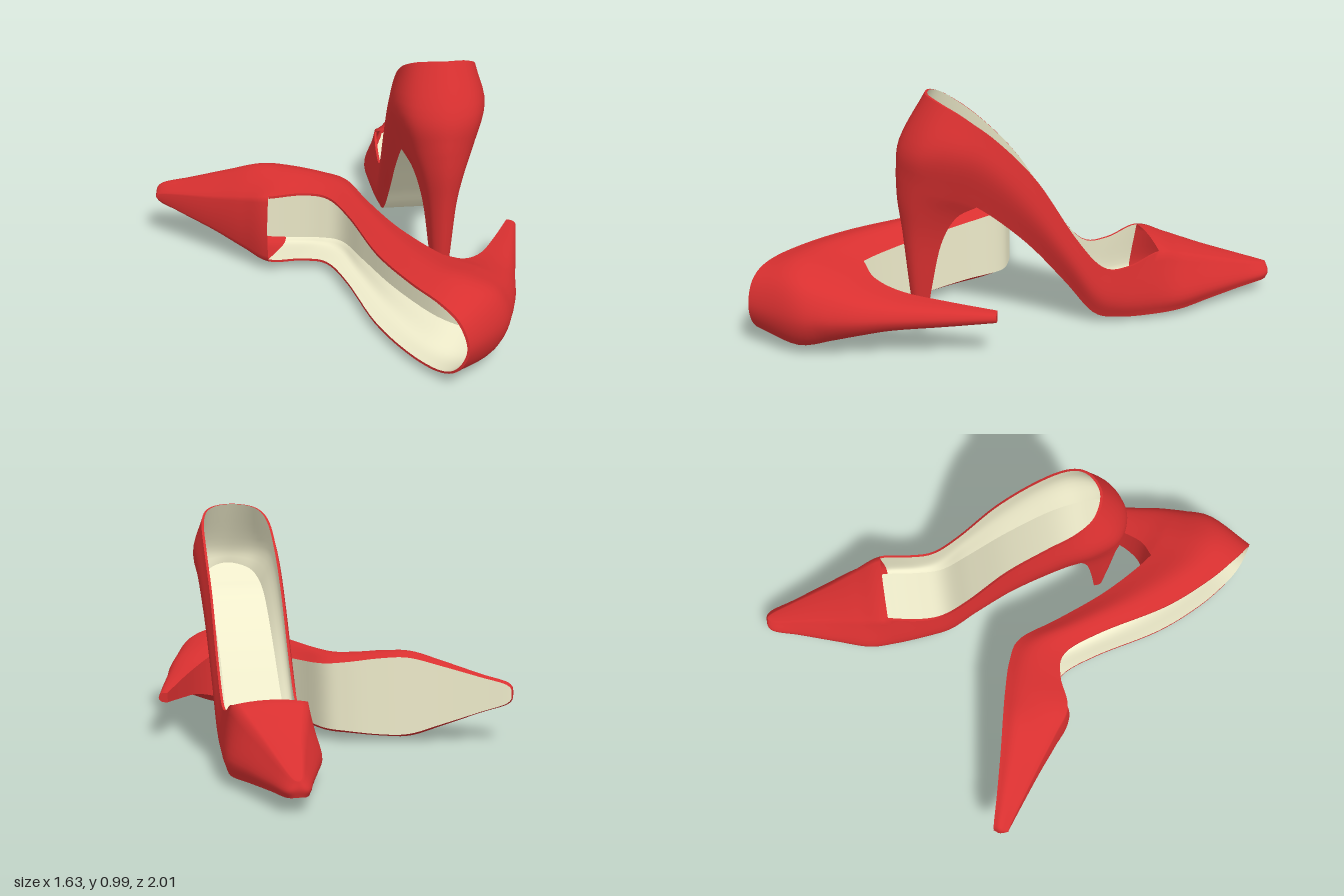
import * as THREE from 'three';
import { mergeGeometries, mergeVertices } from 'three/addons/utils/BufferGeometryUtils.js';

const V = (x, y, z) => new THREE.Vector3(x, y, z);
const red = new THREE.MeshStandardMaterial({ color: 0xd83030, side: THREE.DoubleSide });
const cream = new THREE.MeshStandardMaterial({ color: 0xefeccb, side: THREE.DoubleSide });

// Half outline from toe to back of heel, each point [x, y, half width]
const FEATHER = [[-.81, .205, 0], [-.79, .2, .04], [-.68, .185, .075], [-.52, .16, .125], [-.38, .135, .165],
  [-.26, .115, .165], [-.12, .1, .15], [-.01, .12, .14], [.12, .255, .13], [.3, .43, .128],
  [.51, .58, .13], [.66, .625, .125], [.76, .655, .09], [.808, .67, 0]];
const BULGE = [[-.815, .235, 0], [-.795, .23, .045], [-.68, .225, .082], [-.52, .22, .137], [-.38, .21, .182],
  [-.26, .2, .184], [-.12, .18, .173], [-.01, .21, .17], [.12, .36, .17], [.3, .57, .173],
  [.49, .74, .178], [.64, .8, .175], [.755, .8, .12], [.802, .8, 0]];
const RIM = [[-.805, .265, 0], [-.78, .268, .02], [-.68, .289, .045], [-.52, .325, .08], [-.38, .36, .118],
  [-.26, .384, .15], [-.14, .325, .156], [-.03, .32, .155], [.1, .45, .155], [.28, .69, .155],
  [.45, .85, .155], [.59, .945, .145], [.675, .985, .1], [.715, .995, 0]];

const STEP = 6;                 // columns per outline point
const N = 26 * STEP;            // columns around the shoe
const THROAT = 5 * STEP;        // column where the opening starts
const BREAST = 10 * STEP;       // column where the heel starts

// Heel levels: [front x, front y, back x, back y, width factor]
const HEEL = [[.58, .52, .795, .56, .72], [.622, .4, .767, .43, .48],
  [.64, .22, .728, .22, .32], [.65, .025, .69, .025, .16]];

// Mirrors a half outline into a smooth closed loop and samples its columns
function loop(half) {
  const left = half.map(p => V(...p));
  const right = half.slice(1, -1).reverse().map(([x, y, w]) => V(x, y, -w));
  const curve = new THREE.CatmullRomCurve3([...left, ...right], true, 'catmullrom', 0.5);
  return Array.from({ length: N }, (_, j) => curve.getPoint(j / N));
}

// Surface through equally long columns of points
function skin(columns) {
  const rows = columns[0].length, pos = [], idx = [];
  columns.forEach(c => c.forEach(p => pos.push(p.x, p.y, p.z)));
  for (let j = 0; j < columns.length - 1; j++) {
    for (let i = 0; i < rows - 1; i++) {
      const a = j * rows + i, b = a + rows;
      idx.push(a, b, b + 1, a, b + 1, a + 1);
    }
  }
  const g = new THREE.BufferGeometry();
  g.setAttribute('position', new THREE.Float32BufferAttribute(pos, 3));
  g.setIndex(idx);
  return g;
}

function mesh(name, parts, material) {
  const g = mergeVertices(mergeGeometries(parts), 1e-4);
  g.computeVertexNormals();
  const m = new THREE.Mesh(g, material);
  m.name = name;
  return m;
}

const range = (a, b) => Array.from({ length: b - a + 1 }, (_, i) => a + i);
const wrap = j => (j + N) % N;
const through = (pts, n) => new THREE.CatmullRomCurve3(pts, false, 'catmullrom', 0.5).getPoints(n);
const across = (a, b, n) => range(0, n).map(i => a.clone().lerp(b, i / n));

// Moves a point inward, towards the middle line of the shoe
function inset(p, d) {
  const c = V(THREE.MathUtils.clamp(p.x, -.6, .55), p.y, 0);
  const dir = c.sub(p), len = dir.length();
  return len < 1e-6 ? p.clone() : p.clone().addScaledVector(dir, Math.min(d, len) / len);
}

function makeShoe(name) {
  const shoe = new THREE.Group();
  shoe.name = name;
  const feather = loop(FEATHER), bulge = loop(BULGE), rim = loop(RIM);

  // Side walls, closed toe cap and heel form one smooth red skin
  const walls = skin(range(0, N).map(wrap).map(j => through([feather[j], bulge[j], rim[j]], 10)));
  const toeCap = skin(range(-THROAT, THROAT).map(wrap).map(j => {
    const p = rim[j], w = Math.abs(p.z);
    return range(0, 6).map(i => {
      const s = 1 - i / 6;
      return V(p.x, p.y + 0.1 * w * (1 - s * s), p.z * s);
    });
  }));
  const heelColumns = range(BREAST, N - BREAST).map(j => {
    const p = feather[j], t = (p.x - .51) / .298;
    const pts = HEEL.map(([xf, yf, xb, yb, w]) =>
      V(xf + t * (xb - xf), yf + t * (yb - yf), p.z * w));
    return through([p, ...pts], 20).reverse();
  });
  shoe.add(mesh('upperAndHeel', [walls, toeCap, skin(heelColumns)], red));

  // Front face of the heel and its tip
  const first = heelColumns[0], last = heelColumns[heelColumns.length - 1];
  shoe.add(mesh('heelBreast', [skin(first.map((p, i) => across(p, last[i], 4)))], red));
  const tipCentre = V(.67, .025, 0);
  shoe.add(mesh('heelTip', [skin([...heelColumns, first].map(c => [tipCentre, c[0]]))], red));

  // Thin edge around the opening
  const opening = range(THROAT, N - THROAT);
  shoe.add(mesh('topline', [skin(opening.map(j => [rim[j], inset(rim[j], .01)]))], red));

  // Lining and footbed
  const bed = feather.map(p => inset(p, .012).add(V(0, .045, 0)));
  const inside = range(2 * STEP, N - 2 * STEP);
  const lining = opening.map(j => through([inset(rim[j], .01), inset(bulge[j], .014), bed[j]], 10));
  shoe.add(mesh('lining', [skin(lining)], cream));
  const footbed = inside.filter(j => j <= N / 2).map(j => across(bed[j], bed[wrap(N - j)], 6));
  shoe.add(mesh('footbed', [skin(footbed)], cream));

  // Outsole from toe to heel breast
  const sole = range(0, BREAST).map(j => across(feather[j], feather[wrap(N - j)], 4));
  shoe.add(mesh('outsole', [skin(sole)], cream));
  return shoe;
}

export function createModel() {
  const model = new THREE.Group();
  model.name = 'highHeelPair';

  const standing = makeShoe('standingShoe');
  standing.rotation.set(0, -1.176, .094);
  standing.position.set(.2, -.063, -.24);

  const lying = makeShoe('lyingShoe');
  lying.rotation.set(Math.PI / 2, -.022, 0);
  lying.position.set(0, .197, 0);

  model.add(standing, lying);
  return model;
}
